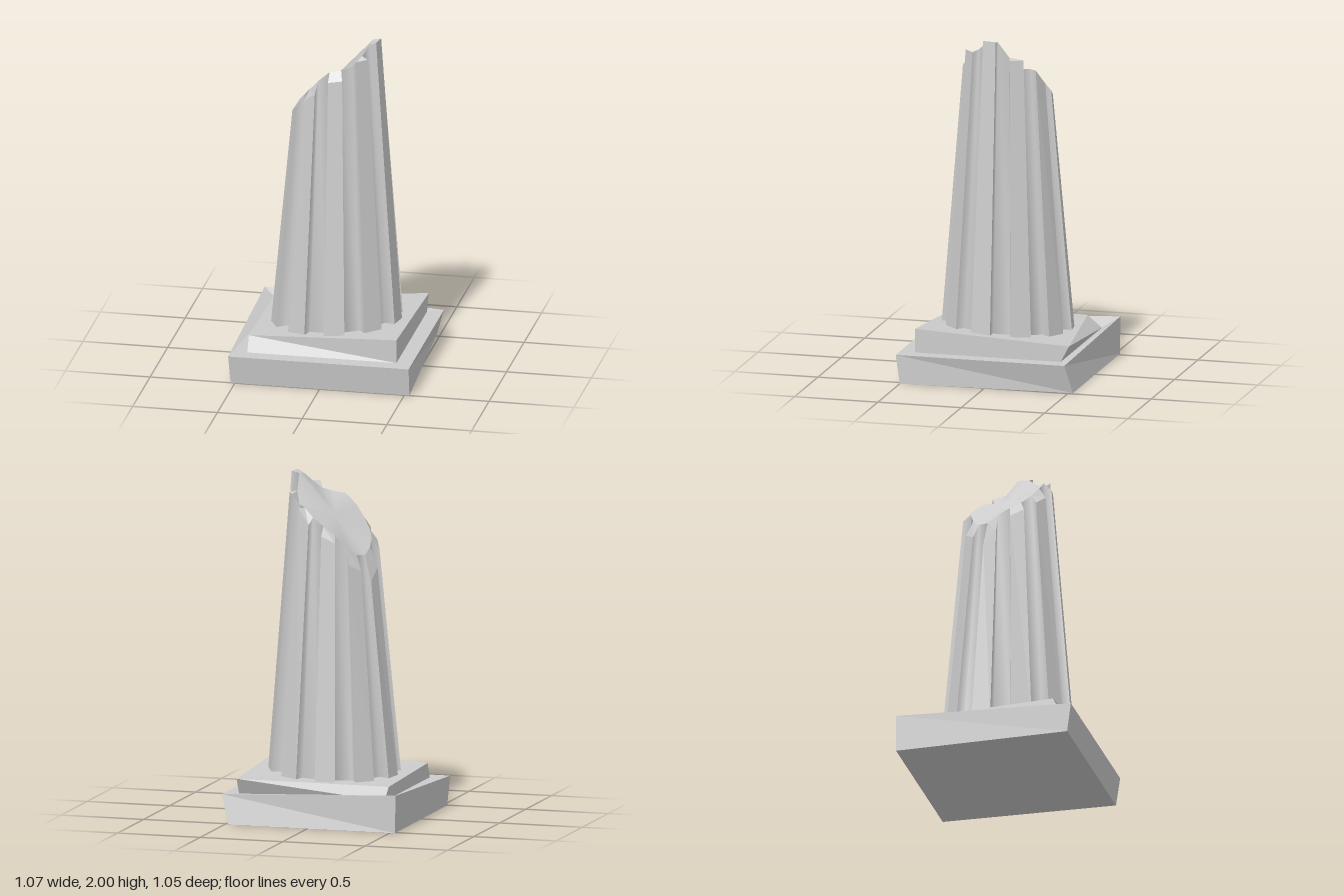
import * as THREE from 'three';

const STEP = Math.PI / 10; // ribs and grooves alternate every 18 degrees
const polar = (r, i, y) => [r * Math.cos(i * STEP), y, r * Math.sin(i * STEP)];

// Broken top: heights at each of the 20 edges, on the core and on the ribs' outer faces
const coreTop = [1.99, 1.98, 1.93, 1.88, 1.86, 1.85, 1.79, 1.72, 1.66, 1.62,
  1.58, 1.54, 1.55, 1.6, 1.67, 1.72, 1.77, 1.82, 1.83, 1.9];
const ribTop = [2, 2, 1.92, 1.92, 1.81, 1.8, 1.72, 1.66, 1.6, 1.55,
  1.46, 1.39, 1.46, 1.5, 1.63, 1.67, 1.73, 1.82, 1.89, 1.89];

// Surface between two rows of points, facing outward
function strip(lower, upper, index = [], base = 0) {
  const n = lower.length;
  for (let i = 0; i < n - 1; i++) {
    const b = base + i, t = base + n + i;
    index.push(b, t, t + 1, b, t + 1, b + 1);
  }
  return { points: [...lower, ...upper], index };
}

function makeMesh(name, { points, index }, flat) {
  let geometry = new THREE.BufferGeometry();
  geometry.setAttribute('position', new THREE.Float32BufferAttribute(points.flat(), 3));
  geometry.setIndex(index);
  if (flat) geometry = geometry.toNonIndexed();
  geometry.computeVertexNormals();
  const material = new THREE.MeshStandardMaterial({
    color: 0xcccccc, flatShading: flat, side: THREE.DoubleSide,
  });
  const mesh = new THREE.Mesh(geometry, material);
  mesh.name = name;
  return mesh;
}

// Stepped, slightly skewed plinth: four-cornered rings joined from bottom to top
function makePlinth() {
  const rings = [
    [[0.48, 0, -0.525], [0.53, 0, 0.5], [-0.525, 0, 0.5], [-0.53, 0, -0.525]],
    [[0.53, 0.17, -0.487], [0.53, 0.17, 0.525], [-0.535, 0.17, 0.525], [-0.535, 0.22, -0.525]],
    [[0.44, 0.17, -0.44], [0.44, 0.17, 0.435], [-0.44, 0.17, 0.435], [-0.44, 0.17, -0.44]],
    [[0.44, 0.265, -0.49], [0.44, 0.31, 0.435], [-0.44, 0.26, 0.39], [-0.44, 0.24, -0.355]],
  ];
  const points = rings.flat();
  const index = [0, 1, 2, 0, 2, 3, 12, 14, 13, 12, 15, 14]; // underside and top
  for (let r = 0; r < 3; r++) {
    for (let i = 0; i < 4; i++) {
      const b = r * 4 + i, b2 = r * 4 + (i + 1) % 4;
      index.push(b, b + 4, b2 + 4, b, b2 + 4, b2);
    }
  }
  return makeMesh('plinth', { points, index }, true);
}

// Tapered fluted shaft with a slanted break
function makeShaft() {
  const shaft = new THREE.Group();
  shaft.name = 'shaft';
  const baseY = 0.2;
  const ribLow = (i) => polar(0.389, i, baseY);
  const ribHigh = (i) => polar(0.26, i, ribTop[i % 20]);
  const coreLow = (i) => polar(0.324, i, baseY);
  const coreHigh = (i) => polar(0.215, i, coreTop[i % 20]);

  for (let i = 0; i < 20; i += 2) {
    const j = i + 1, k = i + 2;
    shaft.add(makeMesh('rib', strip([ribLow(i), ribLow(j)], [ribHigh(i), ribHigh(j)]), true));
    shaft.add(makeMesh('ribTop', strip([ribHigh(i), ribHigh(j)], [coreHigh(i), coreHigh(j)]), true));
    // groove with its two side walls
    shaft.add(makeMesh('groove', strip(
      [ribLow(j), coreLow(j), coreLow(k), ribLow(k)],
      [ribHigh(j), coreHigh(j), coreHigh(k), ribHigh(k)]), false));
  }

  // broken face: fan around the centre
  const points = [[0, 1.76, 0]], index = [];
  for (let i = 0; i < 20; i++) {
    points.push(coreHigh(i));
    index.push(0, 1 + (i + 1) % 20, 1 + i);
  }
  shaft.add(makeMesh('brokenFace', { points, index }, false));
  return shaft;
}

export function createModel() {
  const model = new THREE.Group();
  model.name = 'brokenColumn';
  model.add(makePlinth(), makeShaft());
  return model;
}
